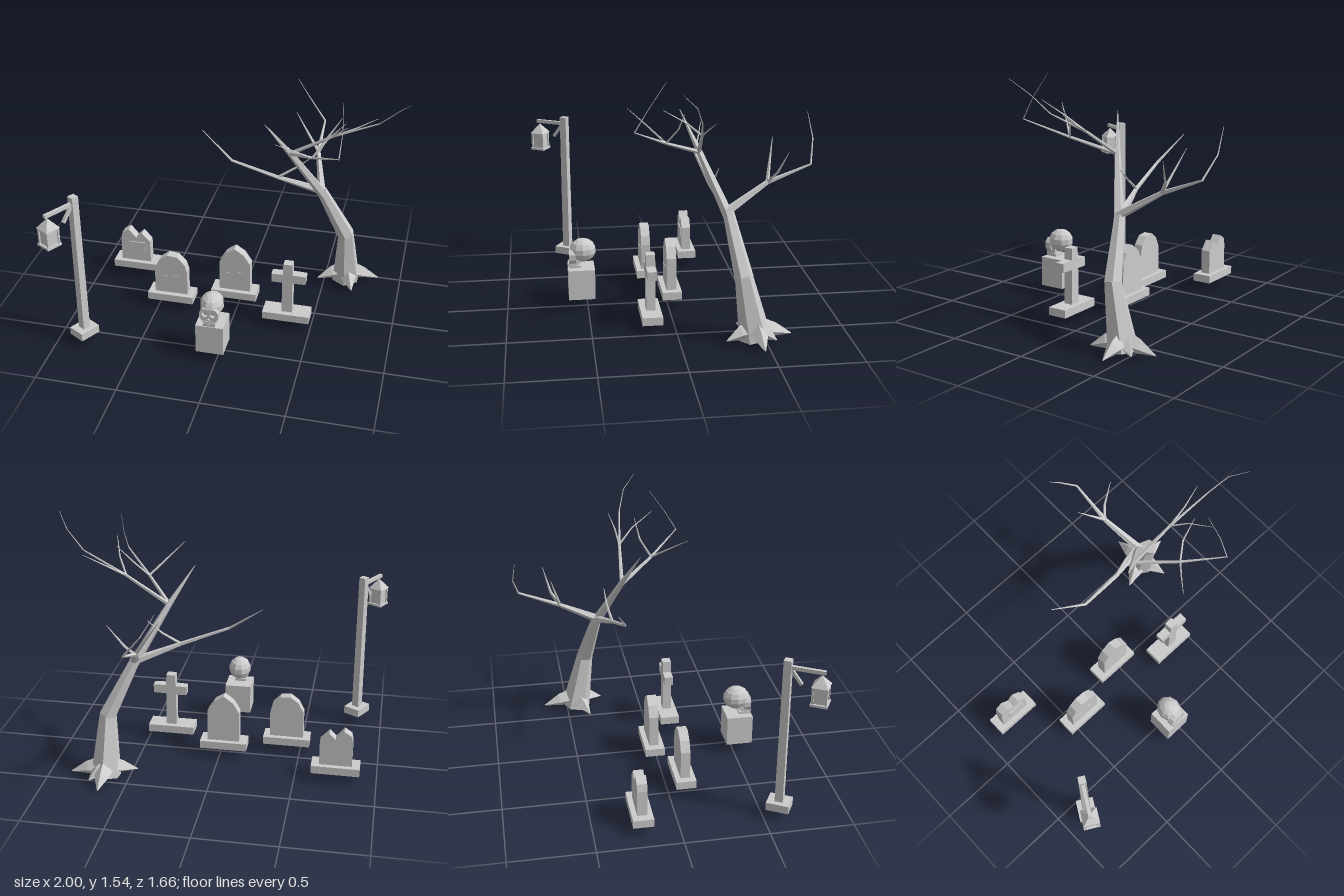
import * as THREE from 'three';

const stone = new THREE.MeshStandardMaterial({ color: 0xcccccc, flatShading: true });
stone.name = 'pale grey';

function add(parent, name, geo, x = 0, y = 0, z = 0) {
  const m = new THREE.Mesh(geo, stone);
  m.name = name;
  m.position.set(x, y, z);
  parent.add(m);
  return m;
}
// box given by its bottom height
const box = (p, name, w, h, d, x, y, z) => add(p, name, new THREE.BoxGeometry(w, h, d), x, y + h / 2, z);

function group(parent, name, x = 0, y = 0, z = 0) {
  const g = new THREE.Group();
  g.name = name;
  g.position.set(x, y, z);
  parent.add(g);
  return g;
}

// flat outline with optional holes, centred in depth
function slab(points, depth, holes = []) {
  const s = new THREE.Shape(points.map(p => new THREE.Vector2(...p)));
  for (const h of holes) s.holes.push(new THREE.Path(h.map(p => new THREE.Vector2(...p))));
  return new THREE.ExtrudeGeometry(s, { depth, bevelEnabled: false }).translate(0, 0, -depth / 2);
}

// tapered limb through points [x, y, z, radius], closed at both ends
function limb(pts, sides) {
  const P = pts.map(p => new THREE.Vector3(p[0], p[1], p[2]));
  const pos = [], idx = [], n = P.length;
  const all = P[n - 1].clone().sub(P[0]).normalize();
  const ref = Math.abs(all.z) < 0.7 ? new THREE.Vector3(0, 0, 1) : new THREE.Vector3(1, 0, 0);
  for (let i = 0; i < n; i++) {
    const a = P[Math.max(i - 1, 0)], b = P[i], c = P[Math.min(i + 1, n - 1)];
    const t = new THREE.Vector3();
    if (i > 0) t.add(b.clone().sub(a).normalize());
    if (i < n - 1) t.add(c.clone().sub(b).normalize());
    t.normalize();
    const u = ref.clone().addScaledVector(t, -ref.dot(t)).normalize();
    const v = t.clone().cross(u);
    for (let k = 0; k < sides; k++) {
      const ang = k / sides * Math.PI * 2;
      const q = b.clone().addScaledVector(u, Math.cos(ang) * pts[i][3]).addScaledVector(v, Math.sin(ang) * pts[i][3]);
      pos.push(q.x, q.y, q.z);
      if (i < n - 1) {
        const k2 = (k + 1) % sides, A = i * sides + k, B = i * sides + k2;
        idx.push(A, B, B + sides, A, B + sides, A + sides);
      }
    }
  }
  for (let k = 1; k < sides - 1; k++) {
    const e = (n - 1) * sides;
    idx.push(0, k + 1, k, e, e + k, e + k + 1);
  }
  const g = new THREE.BufferGeometry();
  g.setAttribute('position', new THREE.Float32BufferAttribute(pos, 3));
  g.setIndex(idx);
  const flat = g.toNonIndexed();
  flat.computeVertexNormals();
  return flat;
}

function buildTree(root) {
  const tree = group(root, 'deadTree');
  add(tree, 'lowerTrunk', limb([[0.64, 0.02, -0.44, 0.095], [0.632, 0.41, -0.365, 0.052]], 6));
  add(tree, 'upperTrunk', limb([[0.634, 0.395, -0.368, 0.056], [0.47, 0.74, -0.30, 0.034]], 6));
  // roots: pointed spikes around the foot
  for (const [x, z] of [[0.855, -0.455], [0.70, -0.26], [0.46, -0.36], [0.635, -0.655], [0.72, -0.55]])
    add(tree, 'root', limb([[0.64, 0.09, -0.44, 0.065], [x * 0.5 + 0.32, 0.065, z * 0.5 - 0.22, 0.045], [x, 0.033, z, 0.003]], 4));
  // main limbs
  const limbs = {
    middleLimb: [[0.49, 0.70, -0.308, 0.034], [0.285, 1.06, -0.155, 0.019], [0.145, 1.28, -0.06, 0.002]],
    leanLimb: [[0.48, 0.735, -0.305, 0.028], [0.20, 0.84, -0.23, 0.013], [-0.085, 0.945, -0.19, 0.009], [-0.29, 1.10, -0.255, 0.002]],
    backLimb: [[0.475, 0.74, -0.29, 0.028], [0.405, 0.89, -0.54, 0.015], [0.405, 0.99, -0.795, 0.007], [0.30, 1.12, -0.83, 0.004], [0.215, 1.26, -0.815, 0.0015]],
    sideLimb: [[0.285, 1.055, -0.155, 0.014], [0.55, 1.215, -0.13, 0.009], [0.82, 1.345, -0.09, 0.004], [0.93, 1.455, -0.045, 0.0025], [1.0, 1.54, 0.04, 0.0012]],
    frontLimb: [[0.285, 1.055, -0.155, 0.014], [0.455, 1.155, 0.06, 0.009], [0.635, 1.265, 0.255, 0.004], [0.64, 1.39, 0.18, 0.002], [0.625, 1.535, 0.08, 0.0012]],
  };
  for (const [name, pts] of Object.entries(limbs)) add(tree, name, limb(pts, 5));
  // twigs
  const twigs = [
    [[0.55, 1.215, -0.13, 0.007], [0.61, 1.30, -0.04, 0.005], [0.66, 1.39, 0.10, 0.0015]],
    [[0.55, 1.215, -0.13, 0.007], [0.68, 1.275, -0.14, 0.005], [0.805, 1.34, -0.165, 0.0015]],
    [[0.455, 1.155, 0.06, 0.007], [0.36, 1.24, 0.16, 0.005], [0.27, 1.32, 0.26, 0.0015]],
    [[0.455, 1.155, 0.06, 0.007], [0.53, 1.25, 0.0, 0.006], [0.635, 1.36, -0.02, 0.0015]],
    [[0.405, 0.89, -0.54, 0.012], [0.35, 0.97, -0.56, 0.009], [0.245, 1.125, -0.60, 0.0015]],
    [[0.405, 0.89, -0.54, 0.012], [0.45, 0.96, -0.59, 0.009], [0.54, 1.10, -0.63, 0.0015]],
    [[0.20, 0.84, -0.23, 0.010], [0.31, 0.91, -0.25, 0.007], [0.40, 0.985, -0.255, 0.002]],
  ];
  twigs.forEach(t => add(tree, 'twig', limb(t, 4)));
}

function buildLamp(root) {
  const lamp = group(root, 'lampPost', -0.834, 0, 0.595);
  lamp.rotation.y = -Math.PI / 6;
  box(lamp, 'lampBase', 0.112, 0.05, 0.135, 0, 0.06, 0);
  add(lamp, 'post', new THREE.CylinderGeometry(0.031, 0.034, 0.93, 4).rotateY(Math.PI / 4), 0, 0.565, 0);
  box(lamp, 'arm', 0.02, 0.022, 0.22, 0, 0.974, 0.10);
  const brace = box(lamp, 'brace', 0.018, 0.10, 0.018, 0, 0.88, 0.052);
  brace.rotation.x = -0.65;
  // lantern hanging under the arm's end
  const lantern = group(lamp, 'lantern', 0, 0, 0.19);
  const cone = (name, r, h, y) => add(lantern, name, new THREE.ConeGeometry(r, h, 4).rotateY(Math.PI / 4), 0, y, 0);
  cone('lanternRoof', 0.068, 0.063, 0.937);
  box(lantern, 'lanternTop', 0.09, 0.012, 0.09, 0, 0.896, 0);
  box(lantern, 'lanternFloor', 0.098, 0.014, 0.098, 0, 0.79, 0);
  box(lantern, 'lanternPanes', 0.072, 0.10, 0.072, 0, 0.80, 0);
  for (const x of [-1, 1]) for (const z of [-1, 1])
    box(lantern, 'lanternCorner', 0.012, 0.10, 0.012, x * 0.038, 0.80, z * 0.038);
}

function buildGraves(root) {
  const graves = [
    ['brokenGrave', -0.749, -0.216, 0.06, [[-0.1, 0.10], [0.1, 0.10], [0.1, 0.265], [0.045, 0.325], [0.005, 0.285], [-0.045, 0.345], [-0.09, 0.315], [-0.1, 0.27]]],
    ['roundGrave', -0.414, 0.10, 0.058, [[-0.105, 0.10], [0.108, 0.10], [0.108, 0.275], [0.094, 0.33], [0.045, 0.382], [-0.02, 0.388], [-0.07, 0.35], [-0.104, 0.285]]],
    ['pointedGrave', -0.026, -0.022, 0.06, [[-0.1, 0.10], [0.104, 0.10], [0.102, 0.315], [0.06, 0.38], [0.0, 0.42], [-0.06, 0.375], [-0.098, 0.31]]],
  ];
  for (const [name, x, z, depth, outline] of graves) {
    const g = group(root, name, x, 0, z);
    box(g, 'plinth', 0.296, 0.05, 0.122, 0, 0.06, 0);
    add(g, 'headstone', slab(outline, depth));
    // carved dashes as thin plates
    if (name === 'brokenGrave') box(g, 'plaque', 0.11, 0.065, 0.008, 0.01, 0.19, depth / 2 + 0.003);
    else for (const s of [-1, 1]) box(g, 'carvedDash', 0.035, 0.006, 0.004, s * 0.035, 0.235 + s * 0.006, depth / 2 + 0.001);
  }
  const g = group(root, 'crossGrave', 0.345, 0, 0.142);
  box(g, 'plinth', 0.296, 0.05, 0.122, 0, 0.06, 0);
  add(g, 'cross', slab([[-0.03, 0.10], [0.038, 0.10], [0.034, 0.328], [0.115, 0.33], [0.118, 0.385], [0.034, 0.388],
    [0.032, 0.46], [-0.025, 0.46], [-0.027, 0.385], [-0.099, 0.382], [-0.097, 0.325], [-0.029, 0.325]], 0.055));
}

function buildSkull(root) {
  const g = group(root, 'skullPedestal', -0.037, 0, 0.535);
  box(g, 'pedestal', 0.17, 0.193, 0.165, 0, 0.06, 0);
  add(g, 'cranium', new THREE.SphereGeometry(1, 10, 7).scale(0.073, 0.075, 0.084), -0.003, 0.36, -0.012);
  // face with open sockets and nose
  const eye = s => [[0.008, 0.33], [0.014, 0.352], [0.038, 0.354], [0.044, 0.335], [0.032, 0.318], [0.014, 0.32]].map(([x, y]) => [x * s, y]);
  const face = [[-0.038, 0.282], [0.038, 0.282], [0.056, 0.31], [0.058, 0.345], [0.04, 0.372], [-0.04, 0.372], [-0.058, 0.345], [-0.056, 0.31]];
  const nose = [[-0.009, 0.297], [0.009, 0.297], [0, 0.318]];
  add(g, 'face', slab(face, 0.04, [eye(1), eye(-1), nose]), -0.003, 0, 0.054);
  box(g, 'faceCore', 0.085, 0.07, 0.05, -0.003, 0.285, 0.03);
  box(g, 'upperJaw', 0.07, 0.022, 0.06, -0.003, 0.268, 0.048);
  box(g, 'lowerJaw', 0.076, 0.018, 0.075, -0.003, 0.25, 0.04);
  for (let i = -2; i <= 2; i++) box(g, 'tooth', 0.01, 0.016, 0.006, -0.003 + i * 0.013, 0.264, 0.079);
}

export function createModel() {
  const root = new THREE.Group();
  root.name = 'graveyard';
  buildTree(root);
  buildLamp(root);
  buildGraves(root);
  buildSkull(root);
  return root;
}
